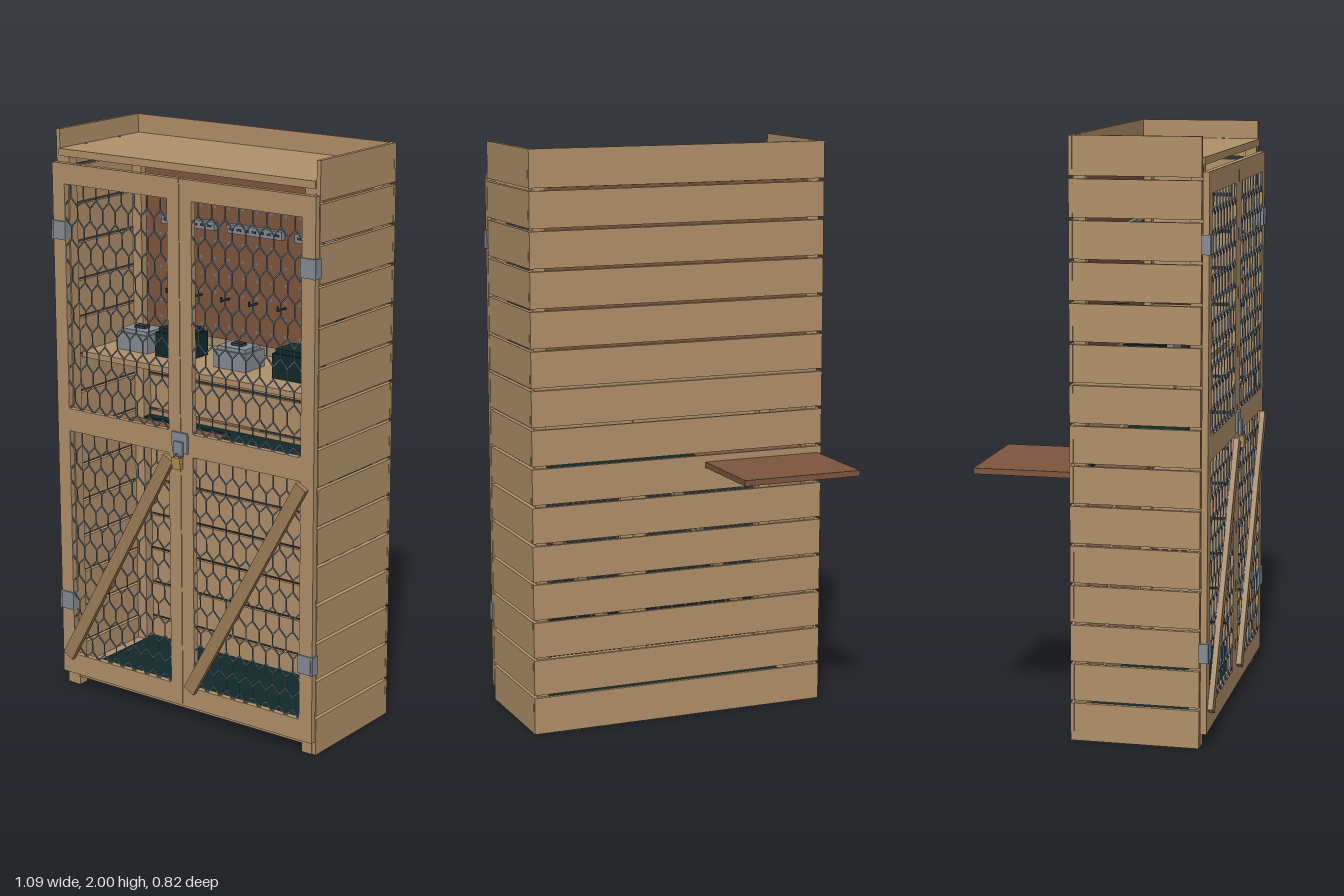
import * as THREE from 'three';
import { mergeGeometries } from 'three/addons/utils/BufferGeometryUtils.js';

const mat = (name, color, side = THREE.FrontSide) => {
  const m = new THREE.MeshStandardMaterial({ color, side });
  m.name = name;
  return m;
};

// Box geometry from its min and max corners
function span(x0, x1, y0, y1, z0, z1) {
  return new THREE.BoxGeometry(x1 - x0, y1 - y0, z1 - z0)
    .translate((x0 + x1) / 2, (y0 + y1) / 2, (z0 + z1) / 2);
}

// Flat bar between two points in the xy plane
function bar(ax, ay, bx, by, z, width, depth) {
  const len = Math.hypot(bx - ax, by - ay);
  return new THREE.BoxGeometry(len, width, depth)
    .rotateZ(Math.atan2(by - ay, bx - ax))
    .translate((ax + bx) / 2, (ay + by) / 2, z);
}

function rect(path, x0, x1, y0, y1) {
  path.moveTo(x0, y0);
  path.lineTo(x1, y0);
  path.lineTo(x1, y1);
  path.lineTo(x0, y1);
  path.closePath();
  return path;
}

// Chicken wire: stretched hexagon cells filling a rectangle
function wireMesh(x0, x1, y0, y1, z) {
  const cols = 8, w = (x1 - x0) / cols;
  const rows = Math.round((y1 - y0) / 0.07), h = (y1 - y0) / rows;
  const zig = h * 0.4, t = 0.004, parts = [];
  for (let r = 0; r < rows; r++) {
    const y = y0 + r * h;
    const flip = r % 2;
    for (let c = 0; c < cols * 2; c++) {
      const ya = y + ((c + flip) % 2 ? zig : 0);
      const yb = y + ((c + 1 + flip) % 2 ? zig : 0);
      parts.push(bar(x0 + c * w / 2, ya, x0 + (c + 1) * w / 2, yb, z, t, t));
      if ((c + flip) % 2) parts.push(bar(x0 + c * w / 2, ya, x0 + c * w / 2, y + h, z, t * 0.7, t));
    }
  }
  return mergeGeometries(parts);
}

export function createModel() {
  const wood = mat('wood', 0xb09069);
  const braceWood = mat('braceWood', 0x9b7d56);
  const brown = mat('brownBoard', 0x7d553d);
  const green = mat('darkGreen', 0x10292a);
  const steel = mat('steel', 0x858c94);
  const wire = mat('wire', 0x687a89, THREE.DoubleSide);
  const dark = mat('darkMetal', 0x30343a);
  const brass = mat('brass', 0xae8d50);

  const model = new THREE.Group();
  model.name = 'slattedCabinet';
  const add = (name, geo, material, parent = model) => {
    const mesh = new THREE.Mesh(geo, material);
    mesh.name = name;
    parent.add(mesh);
    return mesh;
  };

  // Slatted back and side walls
  const pitch = 2 / 15, slats = 15;
  for (let i = 0; i < slats; i++) {
    const y0 = i * pitch + (i ? 0.005 : 0);
    const y1 = (i + 1) * pitch - (i < slats - 1 ? 0.005 : 0);
    add('backSlat', span(-0.54, 0.54, y0, y1, -0.08, -0.068), wood);
    for (const s of [-1, 1]) {
      add('sideSlat', span(-0.0075, 0.0075, y0, y1, -0.067, 0.353).translate(s * 0.5325, 0, 0), wood);
    }
  }

  // Corner posts
  for (const x of [-0.505, 0.505]) {
    for (const z of [-0.048, 0.335]) {
      add('cornerPost', span(x - 0.02, x + 0.02, 0, 1.91, z - 0.02, z + 0.02), wood);
    }
  }

  // Roof, floor, shelves
  add('roof', span(-0.525, 0.525, 1.91, 1.935, -0.068, 0.36), wood);
  add('floor', span(-0.525, 0.525, 0.03, 0.05, -0.068, 0.353), wood);
  add('floorMat', span(-0.484, 0.484, 0.05, 0.058, -0.066, 0.35), green);
  add('upperShelf', span(-0.523, 0.523, 1.19, 1.21, -0.067, 0.262), wood);
  add('tableBoard', span(-0.525, -0.095, 0.885, 0.905, -0.41, 0.15), brown);
  add('lowerShelfMat', span(-0.094, 0.52, 0.903, 0.913, -0.066, 0.15), green);
  add('lowerShelfStrip', span(-0.52, -0.094, 0.905, 0.913, -0.066, -0.03), green);
  for (const x of [-0.515, 0.515]) {
    for (const z of [0.05, 0.23]) {
      add('roofScrew', new THREE.CylinderGeometry(0.005, 0.005, 0.003, 8).translate(x, 1.936, z), steel);
    }
  }

  // Pegboard with rows of holes, tool strips and hooks
  add('pegboard', span(-0.523, 0.523, 1.245, 1.87, -0.067, -0.055), brown);
  const holes = [];
  for (let i = -8; i <= 8; i++) {
    for (let j = 0; j < 10; j++) {
      holes.push(new THREE.CircleGeometry(0.006, 6).translate(i * 0.06, 1.29 + j * 0.06, -0.054));
    }
  }
  add('pegHoles', mergeGeometries(holes), wire);
  for (const x of [-0.285, 0, 0.285]) {
    add('toolStrip', span(x - 0.115, x + 0.115, 1.63, 1.66, -0.055, -0.035), steel);
    for (let k = -3; k <= 3; k++) {
      add('stripSlot', span(x + k * 0.032 - 0.009, x + k * 0.032 + 0.009, 1.641, 1.649, -0.035, -0.033), dark);
    }
  }
  for (let i = -3; i <= 3; i++) {
    const x = i * 0.12;
    add('hookArm', span(x - 0.003, x + 0.003, 1.39, 1.396, -0.055, -0.005), dark);
    add('hookTip', span(x - 0.003, x + 0.003, 1.39, 1.408, -0.011, -0.005), dark);
  }

  // Containers on the upper shelf
  for (const x of [-0.38, 0.04]) {
    add('greyBox', span(x - 0.067, x + 0.067, 1.21, 1.272, 0.05, 0.16), steel);
    add('greyBoxLid', span(x - 0.058, x + 0.058, 1.272, 1.285, 0.06, 0.15), steel);
    add('greyBoxHandle', span(x - 0.022, x + 0.022, 1.285, 1.294, 0.09, 0.12), dark);
  }
  for (const x of [-0.21, 0.285]) {
    add('greenBox', span(x - 0.068, x + 0.068, 1.21, 1.295, 0.04, 0.16), green);
    add('greenBoxLid', span(x - 0.06, x + 0.06, 1.295, 1.31, 0.05, 0.15), green);
  }

  // Doors: frame with two openings, chicken wire, diagonal brace
  for (const s of [-1, 1]) {
    const door = new THREE.Group();
    door.name = s < 0 ? 'rightDoor' : 'leftDoor';
    model.add(door);
    const xs = [0.001 * s, 0.54 * s].sort((a, b) => a - b);
    const px = [0.05 * s, 0.488 * s].sort((a, b) => a - b);
    const panes = [[0.125, 0.955], [1.035, 1.82]];
    const shape = rect(new THREE.Shape(), xs[0], xs[1], 0.05, 1.89);
    for (const [y0, y1] of panes) {
      shape.holes.push(rect(new THREE.Path(), px[0], px[1], y0, y1));
      add('doorWire', wireMesh(px[0], px[1], y0, y1, 0.376), wire, door);
    }
    const frame = new THREE.ExtrudeGeometry(shape, { depth: 0.021, bevelEnabled: false });
    add('doorFrame', frame.translate(0, 0, 0.357), wood, door);
    const bx = s < 0 ? -0.505 : 0.038;
    add('doorBrace', bar(bx, 0.12, bx + 0.463, 0.942, 0.387, 0.045, 0.018), braceWood, door);

    // Hinges
    for (const y of [0.325, 1.66]) {
      add('hingePlate', span(s * 0.515 - 0.03, s * 0.515 + 0.03, y - 0.032, y + 0.032, 0.352, 0.383), steel, door);
      add('hingePin', new THREE.CylinderGeometry(0.005, 0.005, 0.066, 8).translate(s * 0.54, y, 0.38), steel, door);
    }
  }

  // Latch and padlock
  add('latchPlate', span(-0.032, 0.032, 0.965, 1.035, 0.378, 0.386), steel);
  add('latchHasp', span(-0.018, 0.018, 0.955, 1.005, 0.386, 0.395), steel);
  add('padlockShackle', new THREE.TorusGeometry(0.012, 0.003, 6, 12, Math.PI).translate(0, 0.952, 0.4), steel);
  add('padlockBody', span(-0.017, 0.017, 0.912, 0.952, 0.388, 0.406), brass);

  return model;
}
